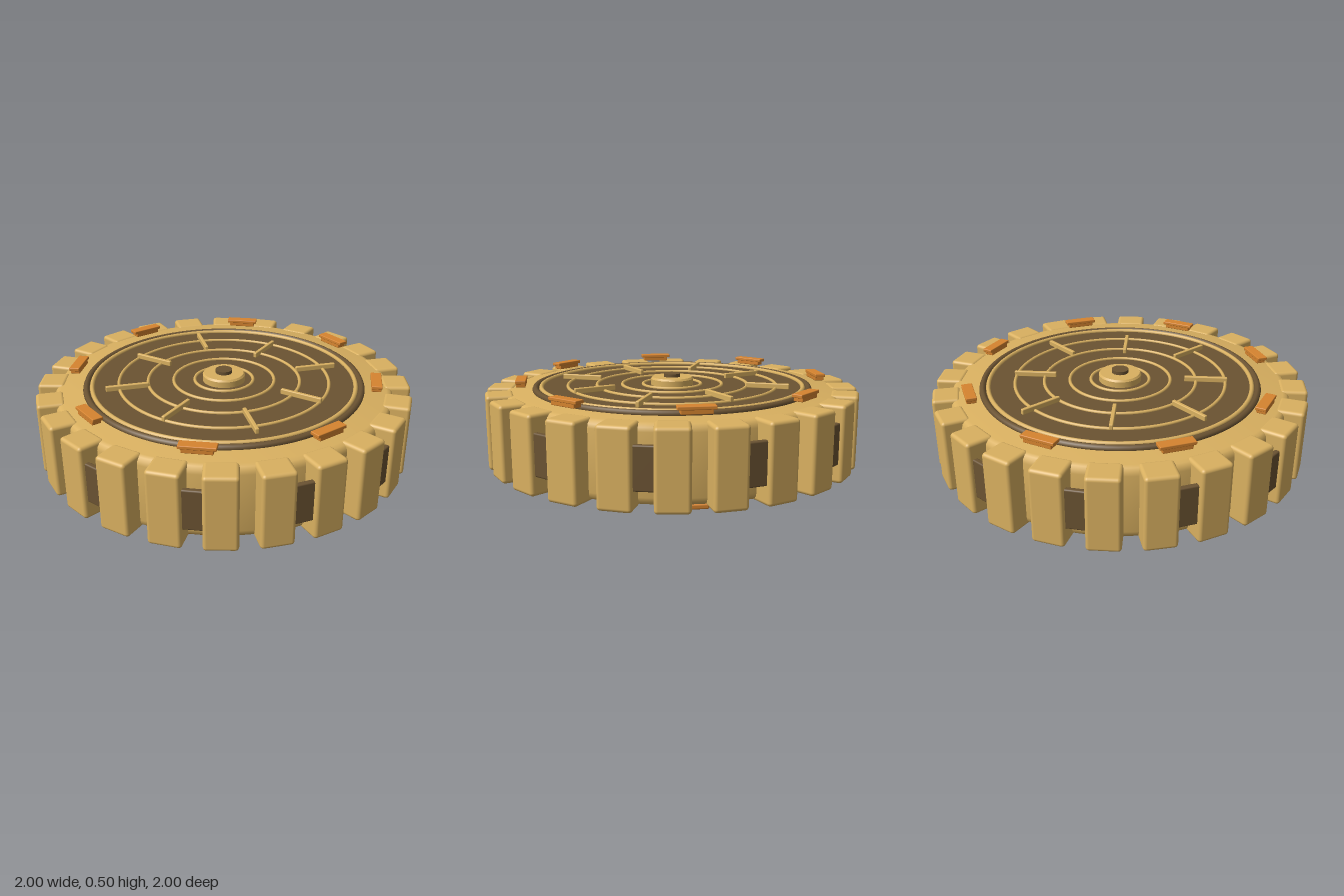
import * as THREE from 'three';
import { RoundedBoxGeometry } from 'three/addons/geometries/RoundedBoxGeometry.js';
import { toCreasedNormals } from 'three/addons/utils/BufferGeometryUtils.js';

const gold = new THREE.MeshStandardMaterial({ color: 0xd9b060 });
const dark = new THREE.MeshStandardMaterial({ color: 0x6b5332 });
const orange = new THREE.MeshStandardMaterial({ color: 0xd6842f });

export function createModel() {
  const model = new THREE.Group();

  const add = (name, geometry, material, x = 0, y = 0, z = 0, parent = model) => {
    const mesh = new THREE.Mesh(geometry, material);
    mesh.name = name;
    mesh.position.set(x, y, z);
    parent.add(mesh);
    return mesh;
  };

  // Place a part at a radius and angle; its local x points outward
  const addRadial = (name, geometry, material, radius, y, degrees, parent) => {
    const a = THREE.MathUtils.degToRad(degrees);
    const mesh = add(name, geometry, material, radius * Math.cos(a), y, -radius * Math.sin(a), parent);
    mesh.rotation.y = a;
    return mesh;
  };

  const group = (name) => {
    const g = new THREE.Group();
    g.name = name;
    model.add(g);
    return g;
  };

  const addRing = (name, radius, tube, y, material, parent) => {
    add(name, new THREE.TorusGeometry(radius, tube, 8, 96).rotateX(Math.PI / 2), material, 0, y, 0, parent);
  };

  // Solid wheel body with rounded shoulders
  const profile = [
    [0, 0.05], [0.87, 0.05], [0.89, 0.056], [0.902, 0.07], [0.906, 0.09],
    [0.906, 0.39], [0.902, 0.41], [0.89, 0.424], [0.87, 0.43], [0, 0.43],
  ].map(([r, y]) => new THREE.Vector2(r, y));
  add('wheelBody', toCreasedNormals(new THREE.LatheGeometry(profile, 96), 0.6), gold);

  // Dark faces above and below
  add('topFace', new THREE.CylinderGeometry(0.73, 0.73, 0.02, 96), dark, 0, 0.43, 0);
  add('bottomFace', new THREE.CylinderGeometry(0.735, 0.735, 0.02, 96), dark, 0, 0.052, 0);

  // Raised concentric rings
  const topRings = group('topRings');
  addRing('outerDarkRing', 0.738, 0.018, 0.435, dark, topRings);
  addRing('topRing', 0.708, 0.012, 0.442, gold, topRings);
  for (const r of [0.567, 0.41, 0.272, 0.158]) addRing('topRing', r, 0.009, 0.442, gold, topRings);

  const bottomRings = group('bottomRings');
  addRing('bottomRing', 0.745, 0.012, 0.052, gold, bottomRings);
  for (const r of [0.6, 0.365, 0.2]) addRing('bottomRing', r, 0.008, 0.043, gold, bottomRings);

  // Short spokes; the diagonal ones sit a little closer in
  const spokes = group('spokes');
  const spokeGeo = new RoundedBoxGeometry(0.23, 0.03, 0.02, 2, 0.005);
  for (let i = 0; i < 8; i++) {
    addRadial('spoke', spokeGeo, gold, i % 2 ? 0.463 : 0.525, 0.454, i * 45, spokes);
  }

  // Hubs
  const hubProfile = [[0, 0.43], [0.115, 0.43], [0.115, 0.472], [0.107, 0.482], [0, 0.482]]
    .map(([r, y]) => new THREE.Vector2(r, y));
  add('topHub', toCreasedNormals(new THREE.LatheGeometry(hubProfile, 48), 0.4), gold);
  add('hubCap', new THREE.CylinderGeometry(0.045, 0.045, 0.03, 32), dark, 0, 0.485, 0);
  add('bottomHub', new THREE.CylinderGeometry(0.09, 0.085, 0.05, 48), gold, 0, 0.03, 0);

  // Tread blocks around the rim
  const treads = group('treadBlocks');
  const treadGeo = new RoundedBoxGeometry(0.145, 0.39, 0.165, 3, 0.018);
  for (let i = 0; i < 24; i++) addRadial('treadBlock', treadGeo, gold, 0.9275, 0.24, i * 15, treads);

  // Dark panels bridging every second gap
  const panels = group('rimPanels');
  const panelGeo = new RoundedBoxGeometry(0.028, 0.21, 0.17, 2, 0.008);
  for (let i = 0; i < 12; i++) addRadial('rimPanel', panelGeo, dark, 0.965, 0.245, 7.5 + i * 30, panels);

  // Orange clips on both sides
  const clips = group('clips');
  const clipGeo = new RoundedBoxGeometry(0.056, 0.018, 0.18, 2, 0.004);
  const clipBaseGeo = new RoundedBoxGeometry(0.05, 0.025, 0.15, 2, 0.004);
  const lowerClipGeo = new RoundedBoxGeometry(0.04, 0.026, 0.12, 2, 0.008);
  for (let i = 0; i < 8; i++) {
    const a = 22.5 + i * 45;
    addRadial('upperClip', clipGeo, orange, 0.813, 0.482, a, clips);
    addRadial('upperClipBase', clipBaseGeo, orange, 0.813, 0.465, a, clips);
    addRadial('lowerClip', lowerClipGeo, orange, 0.813, 0.021, a, clips);
  }

  model.position.y = -0.005;
  const root = new THREE.Group();
  root.name = 'treadedWheel';
  root.add(model);
  return root;
}
